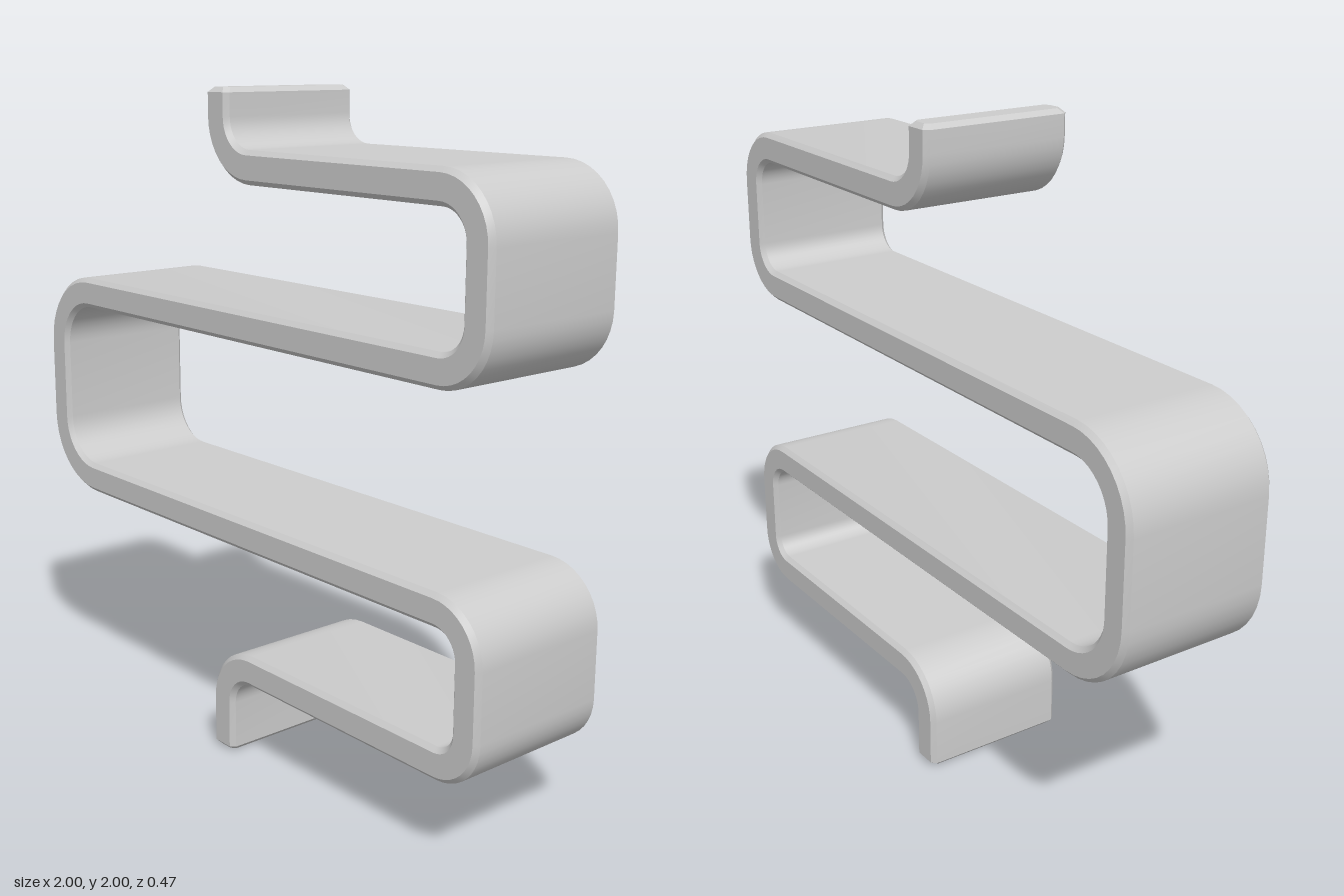
import * as THREE from 'three';
import { toCreasedNormals } from 'three/addons/utils/BufferGeometryUtils.js';

const HALF_T = 0.048, HALF_W = 0.236, CHAMFER = 0.014, ARC_STEPS = 10;

// Centre line from the top end to the bottom end: x, y, bend radius
const corners = [
  [-0.062, 2, 0], [-0.062, 1.785, 0.135],
  [0.952, 1.785, 0.13], [0.952, 1.335, 0.125],
  [-0.952, 1.335, 0.185], [-0.952, 0.713, 0.185],
  [0.952, 0.713, 0.12], [0.952, 0.291, 0.105],
  [-0.062, 0.291, 0.13], [-0.062, 0, 0],
].map(([x, y, r]) => ({ p: new THREE.Vector2(x, y), r }));

// Stations along the path, each with a position, a tangent and an inset
function buildPath() {
  const dir = (i) => corners[i + 1].p.clone().sub(corners[i].p).normalize();
  const last = corners.length - 1;
  const out = [];
  const add = (p, t, inset = 0) => out.push({ p, t, inset });
  const first = dir(0), final = dir(last - 1);
  add(corners[0].p.clone(), first, CHAMFER);
  add(corners[0].p.clone().addScaledVector(first, CHAMFER), first);
  for (let i = 1; i < last; i++) {
    const { p, r } = corners[i], a = dir(i - 1), b = dir(i);
    const centre = p.clone().addScaledVector(a, -r).addScaledVector(b, r);
    for (let k = 0; k <= ARC_STEPS; k++) {
      const s = (k / ARC_STEPS) * Math.PI / 2, c = Math.cos(s), n = Math.sin(s);
      const pos = centre.clone().addScaledVector(b, -r * c).addScaledVector(a, r * n);
      add(pos, a.clone().multiplyScalar(c).addScaledVector(b, n));
    }
  }
  add(corners[last].p.clone().addScaledVector(final, -CHAMFER), final);
  add(corners[last].p.clone(), final, CHAMFER);
  return out;
}

// Chamfered rectangle, counter-clockwise: thickness, width
function section(inset) {
  const t = HALF_T - inset, w = HALF_W - inset, c = CHAMFER;
  return [[t, -w + c], [t, w - c], [t - c, w], [-t + c, w],
    [-t, w - c], [-t, -w + c], [-t + c, -w], [t - c, -w]];
}

function sweep() {
  const path = buildPath(), N = 8, pos = [], idx = [];
  path.forEach(({ p, t, inset }) => section(inset).forEach(([a, b]) =>
    pos.push(p.x - t.y * a, p.y + t.x * a, b)));
  for (let i = 0; i < path.length - 1; i++) {
    for (let k = 0; k < N; k++) {
      const a = i * N + k, b = i * N + (k + 1) % N;
      idx.push(a, b, b + N, a, b + N, a + N);
    }
  }
  // End caps
  const e = (path.length - 1) * N;
  for (let k = 1; k < N - 1; k++) idx.push(0, k + 1, k, e, e + k, e + k + 1);
  const geo = new THREE.BufferGeometry();
  geo.setAttribute('position', new THREE.Float32BufferAttribute(pos, 3));
  geo.setIndex(idx);
  return toCreasedNormals(geo, Math.PI / 6);
}

export function createModel() {
  const group = new THREE.Group();
  group.name = 'serpentineSpring';
  const strip = new THREE.Mesh(sweep(), new THREE.MeshStandardMaterial({ color: 0xcccccc }));
  strip.name = 'bentStrip';
  group.add(strip);
  return group;
}
